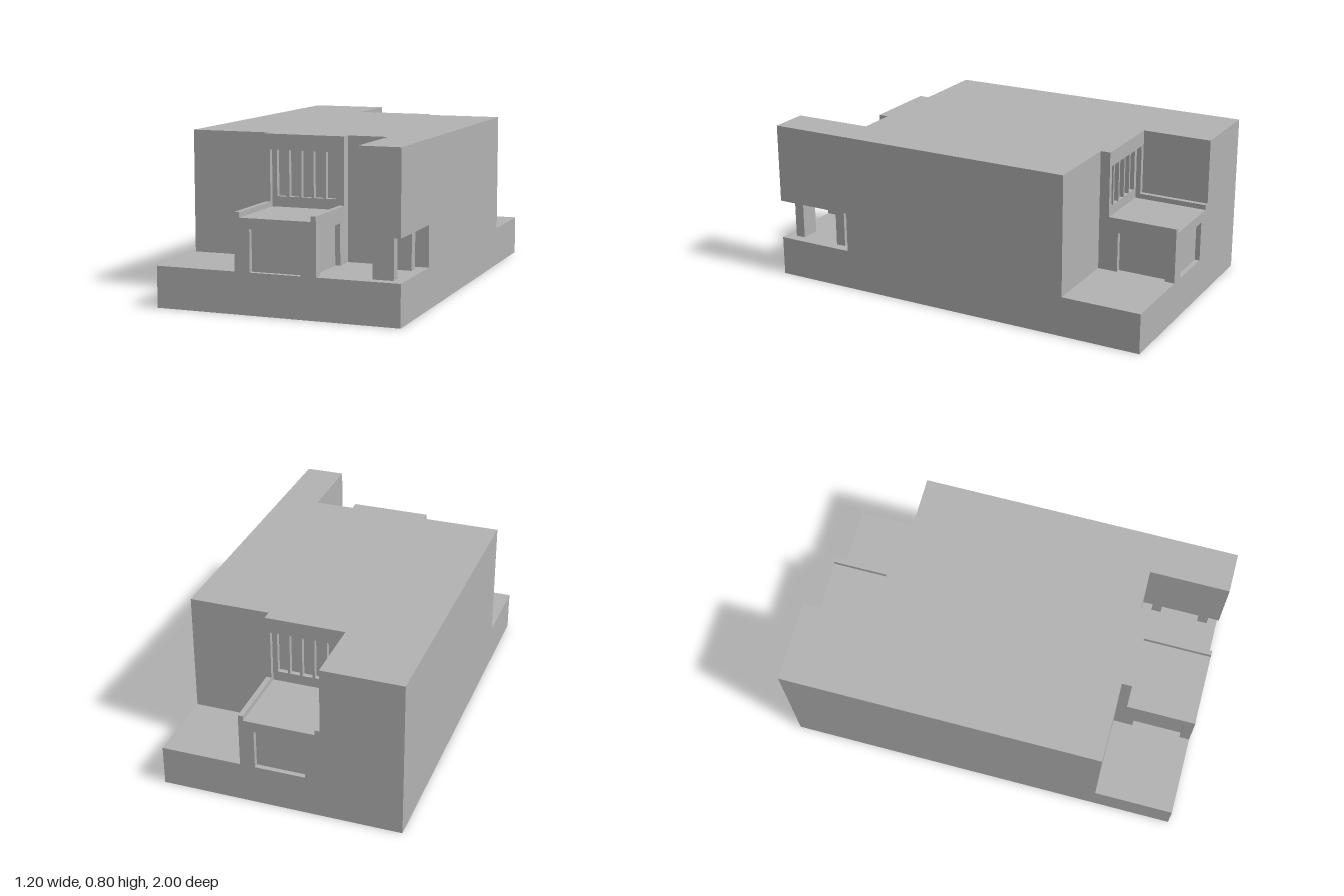
import * as THREE from 'three';

const concrete = new THREE.MeshStandardMaterial({ color: 0xb2b2b2 });
concrete.name = 'concrete grey';

function add(parent, name, geometry) {
  const mesh = new THREE.Mesh(geometry, concrete);
  mesh.name = name;
  parent.add(mesh);
  return mesh;
}

// box given by its lower and upper limits on each axis
function block(parent, name, [x0, x1], [y0, y1], [z0, z1]) {
  const mesh = add(parent, name, new THREE.BoxGeometry(x1 - x0, y1 - y0, z1 - z0));
  mesh.position.set((x0 + x1) / 2, (y0 + y1) / 2, (z0 + z1) / 2);
  return mesh;
}

const points = (list) => list.map(([x, y]) => new THREE.Vector2(x, y));
const rect = (x0, x1, y0, y1) => points([[x0, y0], [x1, y0], [x1, y1], [x0, y1]]);

// flat wall in the xy plane, extruded towards +z
function panel(parent, name, outline, holes, depth) {
  const shape = new THREE.Shape(outline);
  shape.holes = holes.map((h) => new THREE.Path(h));
  return add(parent, name, new THREE.ExtrudeGeometry(shape, { depth, bevelEnabled: false }));
}

// wall with a doorway open down to the floor
const doorWall = (half, top) => points([
  [-half, 0.2], [-0.125, 0.2], [-0.125, 0.4], [0.125, 0.4],
  [0.125, 0.2], [half, 0.2], [half, top], [-half, top],
]);

// projecting room with roof deck, parapets and barred window above
function createWing(name) {
  const wing = new THREE.Group();
  wing.name = name;

  block(wing, 'roomCore', [-0.175, 0.175], [0.2, 0.45], [0.65, 0.975]);
  panel(wing, 'roomFrontWall', doorWall(0.175, 0.45), [], 0.025).position.z = 0.975;

  for (const side of [-1, 1]) {
    const wall = panel(wing, 'roomSideWall', doorWall(0.175, 0.475), [], 0.025);
    wall.rotation.y = side * Math.PI / 2;
    wall.position.set(side * 0.175, 0, 0.825);
  }

  // recessed window frame
  panel(wing, 'windowFrame', rect(-0.2, 0.2, 0.2, 0.8),
    [rect(-0.175, 0.175, 0.45, 0.725)], 0.025).position.z = 0.625;

  // upright slots set back inside the frame
  const slots = [];
  for (let i = -2; i <= 2; i++) {
    const x = i * 0.0625;
    slots.push(rect(x - 0.025, x + 0.025, 0.5, 0.725));
  }
  panel(wing, 'windowBars', rect(-0.2, 0.2, 0.2, 0.8), slots, 0.025).position.z = 0.6;
  return wing;
}

export function createModel() {
  const house = new THREE.Group();
  house.name = 'house';

  block(house, 'base', [-0.6, 0.6], [0, 0.2], [-1, 1]);

  // main mass with the full-height rear block; plan drawn as (x, -z)
  const plan = points([
    [-0.6, -0.6], [0.6, -0.6], [0.6, 0.6], [-0.2, 0.6], [-0.2, 1], [-0.6, 1],
  ]);
  const body = panel(house, 'mainBody', plan, [], 0.6);
  body.rotation.x = -Math.PI / 2;
  body.position.y = 0.2;

  // overhanging upper room on two pillars
  block(house, 'overhang', [0.4, 0.6], [0.4, 0.8], [0.6, 1]);
  for (const z of [0.65, 0.9]) {
    block(house, 'pillar', [0.45, 0.55], [0.2, 0.4], [z, z + 0.05]);
  }

  const backWing = createWing('backWing');
  backWing.rotation.y = Math.PI;
  house.add(createWing('frontWing'), backWing);
  return house;
}
